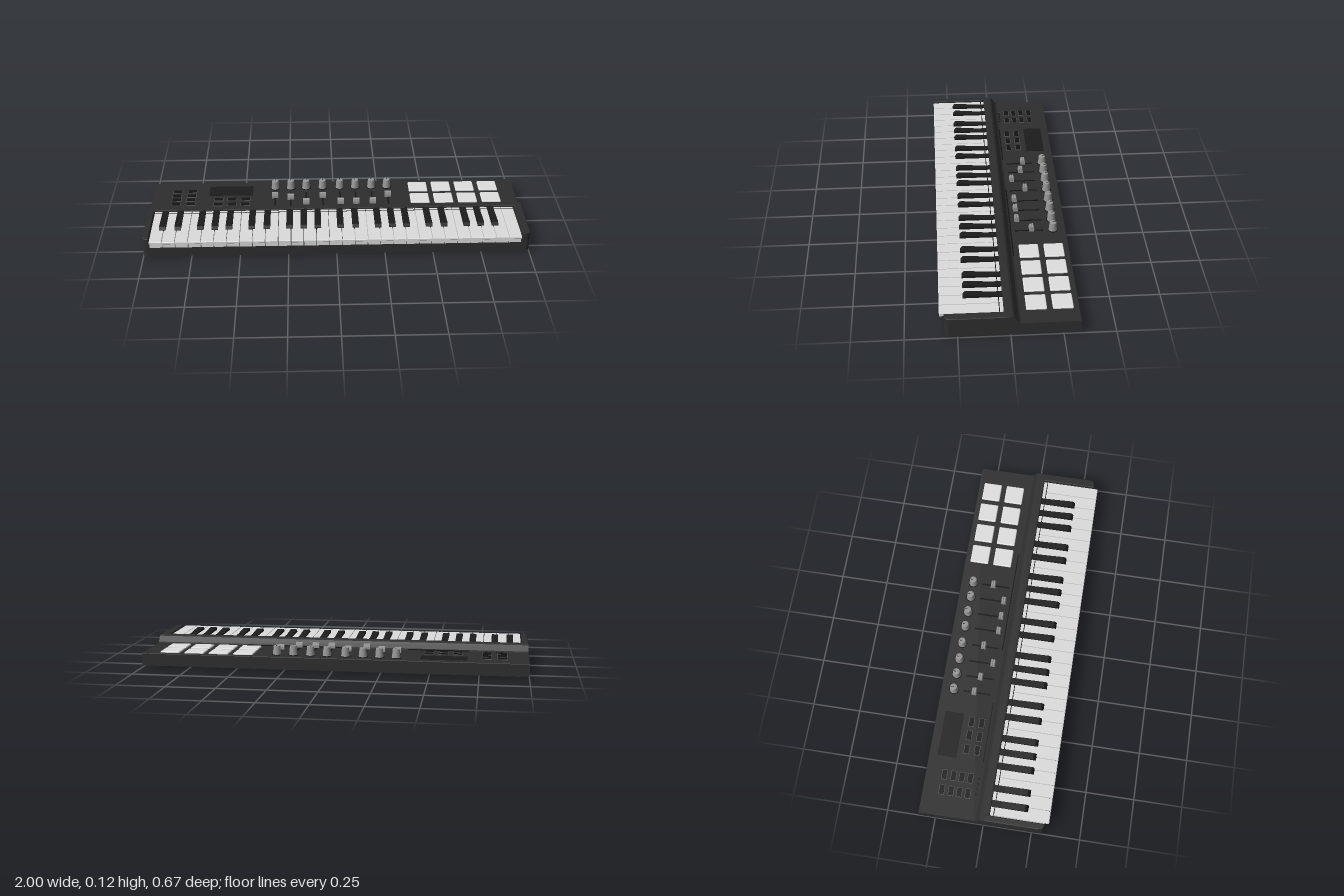
import * as THREE from 'three';
import { RoundedBoxGeometry } from 'three/addons/geometries/RoundedBoxGeometry.js';

const paint = (name, color) => {
  const m = new THREE.MeshStandardMaterial({ color });
  m.name = name;
  return m;
};

export function createModel() {
  const body = paint('charcoal body', 0x2e2e2e);
  const ivory = paint('white keys', 0xdcdcdc);
  const ebony = paint('black keys', 0x1c1c1c);
  const padMat = paint('pads', 0xe0e0e0);
  const knobMat = paint('grey controls', 0x969696);
  const rimMat = paint('button rims', 0x555555);
  const slotMat = paint('dark recess', 0x141414);

  const model = new THREE.Group();
  model.name = 'keyboardController';
  const groups = {};
  const group = (name) => {
    if (!groups[name]) {
      groups[name] = new THREE.Group();
      groups[name].name = name;
      model.add(groups[name]);
    }
    return groups[name];
  };
  const add = (parent, name, geo, mat, x = 0, y = 0, z = 0) => {
    const mesh = new THREE.Mesh(geo, mat);
    mesh.name = name;
    mesh.position.set(x, y, z);
    parent.add(mesh);
    return mesh;
  };
  const box = (w, h, d) => new THREE.BoxGeometry(w, h, d);

  // Side profile of [z, y] points, swept along x and centred
  const sweepX = (pts, width) => {
    const shape = new THREE.Shape(pts.map(([z, y]) => new THREE.Vector2(z, y)));
    return new THREE.ExtrudeGeometry(shape, { depth: width, bevelEnabled: false })
      .rotateY(-Math.PI / 2).translate(width / 2, 0, 0);
  };
  // Plan outline (drawn with y = -z), raised upwards
  const raise = (shape, height, bevel = 0) =>
    new THREE.ExtrudeGeometry(shape, {
      depth: height - bevel, bevelEnabled: bevel > 0, bevelSize: bevel, bevelThickness: bevel,
      bevelOffset: -bevel, bevelSegments: 3, curveSegments: 8,
    }).rotateX(-Math.PI / 2);

  // Case: lower shell with rounded front corners
  const caseGroup = group('case');
  const F = -0.312, B = 0.333, R = 0.03;
  const lower = new THREE.Shape();
  lower.moveTo(-1, B);
  lower.lineTo(-1, F + R);
  lower.quadraticCurveTo(-1, F, -1 + R, F);
  lower.lineTo(1 - R, F);
  lower.quadraticCurveTo(1, F, 1, F + R);
  lower.lineTo(1, B);
  add(caseGroup, 'lowerShell', raise(lower, 0.052), body, 0, 0.01, 0);

  // End cheeks joined by the ridge behind the keys
  const cheeks = new THREE.Shape();
  cheeks.moveTo(-1, 0.007);
  cheeks.lineTo(-1, F + R);
  cheeks.quadraticCurveTo(-1, F, -0.967, F);
  cheeks.lineTo(-0.967, -0.03);
  cheeks.lineTo(0.957, -0.03);
  cheeks.lineTo(0.957, F);
  cheeks.quadraticCurveTo(1, F, 1, F + R);
  cheeks.lineTo(1, 0.007);
  add(caseGroup, 'cheeksAndRidge', raise(cheeks, 0.055, 0.004), body, 0, 0.06, 0);

  // Control deck with the slope up to the ridge
  add(caseGroup, 'controlDeck', sweepX([
    [-0.333, 0.06], [0.01, 0.06], [0.01, 0.115], [-0.007, 0.115], [-0.016, 0.11],
    [-0.038, 0.081], [-0.048, 0.075], [-0.331, 0.075], [-0.333, 0.073],
  ], 2), body);
  for (const [a, b] of [[-0.69, -0.37], [-0.07, 0.5]])
    add(caseGroup, 'deckTrim', box(b - a, 0.004, 0.006), slotMat, (a + b) / 2, 0.077, -0.048);

  // Feet
  for (const x of [-0.925, 0.925]) for (const z of [0.242, -0.272])
    add(group('feet'), 'foot', new THREE.CylinderGeometry(0.02, 0.018, 0.012, 24), slotMat, x, 0.006, z);

  // Side sockets
  for (const z of [-0.3, -0.27])
    add(group('sockets'), 'socket', new THREE.CylinderGeometry(0.008, 0.008, 0.004, 16).rotateZ(Math.PI / 2),
      slotMat, -1, 0.045, z);

  // White keys, 29 naturals with an overhanging front lip
  const step = 1.916 / 29, startX = -0.963;
  const whiteGeo = sweepX([
    [0.031, 0.062], [0.312, 0.062], [0.312, 0.095], [0.332, 0.095], [0.334, 0.097],
    [0.334, 0.105], [0.331, 0.108], [0.031, 0.108],
  ], step - 0.0035);
  for (let i = 0; i < 29; i++)
    add(group('whiteKeys'), 'whiteKey', whiteGeo, ivory, startX + (i + 0.5) * step, 0, 0);
  add(group('whiteKeys'), 'keyLine', box(1.916, 0.001, 0.004), slotMat, startX + 14.5 * step, 0.1083, 0.05);

  // Black keys, five per octave
  const blackGeo = sweepX([
    [0.031, 0.1], [0.222, 0.1], [0.219, 0.111], [0.21, 0.123], [0.203, 0.125],
    [0.085, 0.115], [0.031, 0.115],
  ], 0.034);
  for (let octave = 0; octave < 4; octave++)
    for (const k of [0.9, 2.1, 3.88, 5, 6.12])
      add(group('blackKeys'), 'blackKey', blackGeo, ebony, startX + (octave * 7 + k) * step, 0, 0);

  // Drum pads
  const padGeo = new RoundedBoxGeometry(0.104, 0.016, 0.1, 3, 0.006);
  for (let c = 0; c < 4; c++) for (const z of [-0.255, -0.128])
    add(group('pads'), 'pad', padGeo, padMat, 0.468 + c * 0.13, 0.075, z);

  // Knobs and sliders share eight columns
  const columns = [-0.326, -0.24, -0.155, -0.064, 0.032, 0.118, 0.208, 0.294];
  const sliderZ = [-0.157, -0.138, -0.084, -0.15, -0.084, -0.084, -0.084, -0.155];
  const knobGeo = new THREE.LatheGeometry([
    [0.0225, 0], [0.0225, 0.004], [0.021, 0.006], [0.018, 0.044], [0.0165, 0.0465], [0, 0.0465],
  ].map(([r, y]) => new THREE.Vector2(r, y)), 24);
  const capGeo = sweepX([
    [-0.013, 0], [0.013, 0], [0.013, 0.014], [0.009, 0.027], [0.003, 0.027],
    [0, 0.024], [-0.003, 0.027], [-0.009, 0.027], [-0.013, 0.014],
  ], 0.034);
  columns.forEach((x, i) => {
    add(group('knobs'), 'knob', knobGeo, knobMat, x, 0.077, -0.266);
    add(group('knobs'), 'knobPointer', box(0.003, 0.002, 0.014), slotMat, x, 0.1235, -0.274);
    add(group('knobs'), 'knobCollar', new THREE.CylinderGeometry(0.026, 0.026, 0.004, 24), slotMat, x, 0.0755, -0.266);
    add(group('sliders'), 'sliderSlot', box(0.008, 0.002, 0.145), slotMat, x, 0.0753, -0.142);
    add(group('sliders'), 'sliderStem', box(0.006, 0.01, 0.012), slotMat, x, 0.08, sliderZ[i]);
    add(group('sliders'), 'sliderCap', capGeo, knobMat, x, 0.081, sliderZ[i]);
  });

  // Buttons: a rim with a raised dark cap
  const button = (x, z) => {
    add(group('buttons'), 'buttonRim', box(0.052, 0.004, 0.03), rimMat, x, 0.076, z);
    add(group('buttons'), 'buttonCap', box(0.046, 0.006, 0.024), slotMat, x, 0.078, z);
  };
  for (const x of [-0.866, -0.786]) for (const z of [-0.235, -0.187, -0.144, -0.1]) button(x, z);
  for (const x of [-0.636, -0.562, -0.488]) for (const z of [-0.144, -0.09]) button(x, z);

  // Indicator dots and display window
  for (let i = 0; i < 4; i++)
    add(group('indicators'), 'indicator', new THREE.CylinderGeometry(0.006, 0.006, 0.003, 12),
      slotMat, -0.862 + i * 0.027, 0.076, -0.056);
  add(group('display'), 'displayWindow', box(0.24, 0.002, 0.1), ebony, -0.57, 0.0752, -0.24);

  return model;
}
